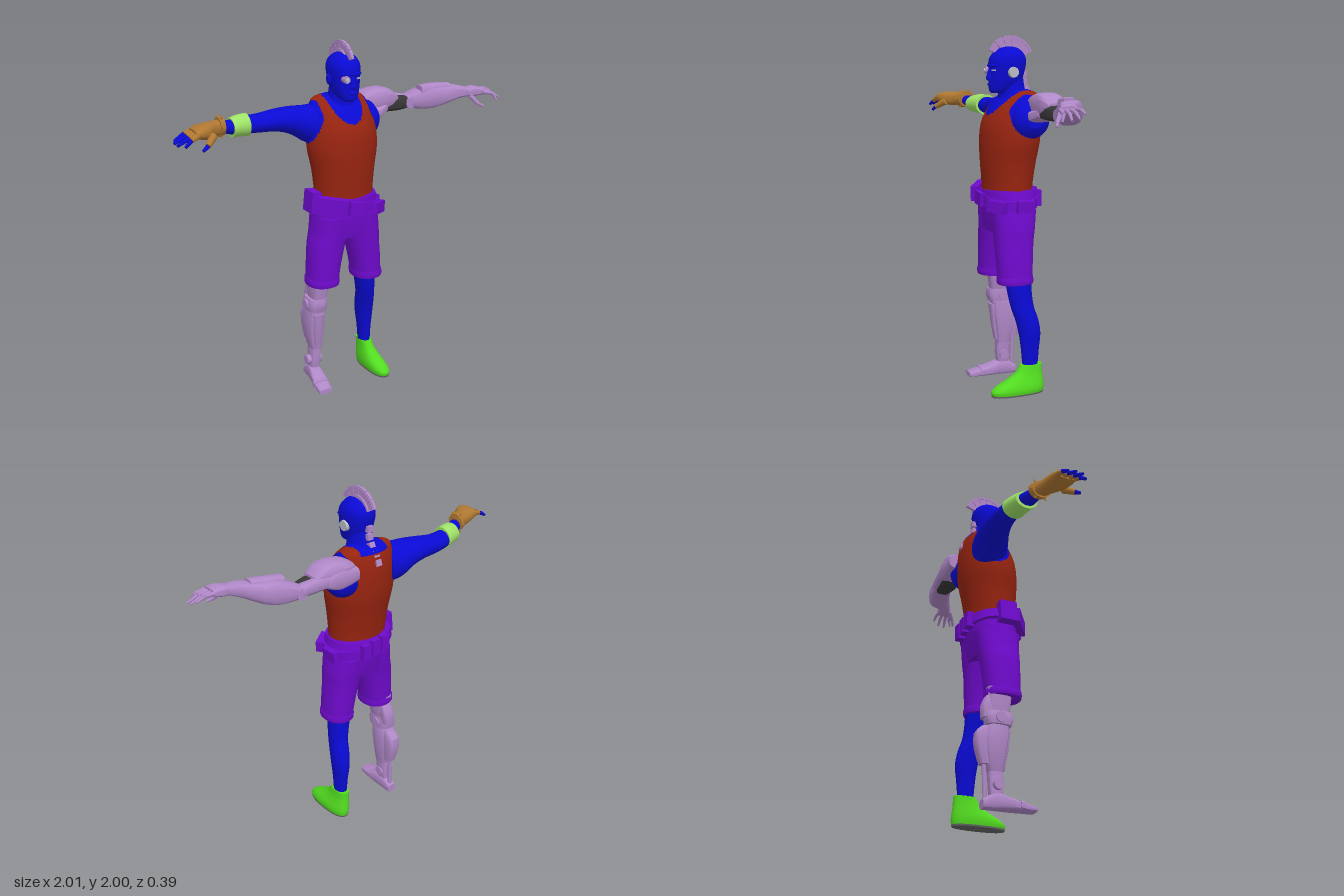
import * as THREE from 'three';
import { toCreasedNormals } from 'three/addons/utils/BufferGeometryUtils.js';

const colours = {
  skinBlue: 0x0a0ad4, shirtRed: 0x982410, shortsPurple: 0x6e0acc, metalLilac: 0xb088c8, gloveBrown: 0xb07832,
  bandGreen: 0xa0e468, shoeGreen: 0x52dc20, jointGrey: 0x383838, lensGrey: 0xb8bcc0, soleGrey: 0x666666,
};
const M = {};
for (const k in colours) { M[k] = new THREE.MeshStandardMaterial({ color: colours[k] }); M[k].name = k; }

const spline = (a, b, c, d, t) =>
  0.5 * (2 * b + (c - a) * t + (2 * a - 5 * b + 4 * c - d) * t * t + (3 * b - a - 3 * c + d) * t * t * t);

// Smooth skin through cross-sections [t, aMin, aMax, bMin, bMax].
// axis y: a = x, b = z; axis x: a = y, b = z; axis z: a = x, b = y. n squares the section off.
function loft(axis, rows, { seg = 28, sub = 5, n = 2, paint } = {}) {
  rows = [...rows].sort((p, q) => p[0] - q[0]);
  const rings = [], last = rows.length - 1;
  for (let i = 0; i < last; i++) for (let s = 0; s < sub; s++)
    rings.push(rows[i].map((v, k) => spline(rows[Math.max(i - 1, 0)][k], v, rows[i + 1][k], rows[Math.min(i + 2, last)][k], s / sub)));
  rings.push(rows[last]);
  const pos = [], pw = (v) => Math.sign(v) * Math.abs(v) ** (2 / n);
  const put = ([t, a0, a1, b0, b1], ca, sa) => {
    const a = (a0 + a1) / 2 + (a1 - a0) / 2 * ca, b = (b0 + b1) / 2 + (b1 - b0) / 2 * sa;
    pos.push(...(axis === 'y' ? [a, t, b] : axis === 'x' ? [t, a, b] : [a, b, t]));
  };
  const ring = (r) => {
    for (let j = 0; j < seg; j++) {
      const g = j / seg * Math.PI * 2, c = pw(Math.cos(g)), s = pw(Math.sin(g));
      if (axis === 'y') put(r, s, c); else put(r, c, s);
    }
  };
  rings.forEach(ring);
  const tris = [];
  for (let i = 0; i < rings.length - 1; i++) for (let j = 0; j < seg; j++) {
    const k = (j + 1) % seg, p = i * seg, q = p + seg;
    tris.push([p + j, p + k, q + j], [p + k, q + k, q + j]);
  }
  for (const end of [0, rings.length - 1]) {
    const base = pos.length / 3;
    ring(rings[end]);
    put(rings[end], 0, 0);
    for (let j = 0; j < seg; j++) {
      const k = (j + 1) % seg;
      tris.push(end ? [base + j, base + k, base + seg] : [base + k, base + j, base + seg]);
    }
  }
  const lists = [[], []];
  for (const t of tris) {
    const c = [0, 1, 2].map((k) => (pos[t[0] * 3 + k] + pos[t[1] * 3 + k] + pos[t[2] * 3 + k]) / 3);
    lists[paint ? paint(...c) : 0].push(...t);
  }
  const g = new THREE.BufferGeometry();
  g.setAttribute('position', new THREE.Float32BufferAttribute(pos, 3));
  g.setIndex([...lists[0], ...lists[1]]);
  if (paint) { g.addGroup(0, lists[0].length, 0); g.addGroup(lists[0].length, lists[1].length, 1); }
  g.computeVertexNormals();
  return g;
}

export function createModel() {
  const root = new THREE.Group();
  root.name = 'figure';
  const add = (name, geo, mat) => {
    const m = new THREE.Mesh(geo, mat);
    m.name = name;
    root.add(m);
    return m;
  };
  const soft = (name, mat, axis, rows, opt) => add(name, loft(axis, rows, opt), mat);
  const plate = (name, axis, rows, mat = M.metalLilac) =>
    add(name, toCreasedNormals(loft(axis, rows, { seg: 16, sub: 2, n: 3.2 }), 0.5), mat);
  const box = (name, mat, size, at, rot = [0, 0, 0]) => {
    const m = add(name, new THREE.BoxGeometry(...size), mat);
    m.position.set(...at);
    m.rotation.set(...rot);
    return m;
  };
  const ball = (name, mat, r, at) => {
    const m = add(name, new THREE.SphereGeometry(1, 16, 12), mat);
    m.scale.set(...r);
    m.position.set(...at);
  };
  const rod = (name, mat, a, b, r0, r1, seg = 12) => {
    const p = new THREE.Vector3(...a), d = new THREE.Vector3(...b).sub(p);
    const m = add(name, new THREE.CylinderGeometry(r1, r0, d.length(), seg), mat);
    m.position.copy(p).addScaledVector(d, 0.5);
    m.quaternion.setFromUnitVectors(new THREE.Vector3(0, 1, 0), d.normalize());
  };

  // Torso with tank top: neck scoop and armholes show skin
  soft('torso', [M.shirtRed, M.skinBlue], 'y', [
    [1.135, -.172, .172, -.13, .14], [1.2, -.175, .175, -.137, .142], [1.3, -.185, .185, -.153, .15],
    [1.42, -.205, .205, -.175, .152], [1.52, -.2, .2, -.182, .14], [1.6, -.188, .188, -.178, .1],
    [1.66, -.168, .168, -.165, .045], [1.69, -.14, .14, -.145, 0], [1.705, -.07, .07, -.11, -.02]],
  { seg: 112, sub: 10, paint: (x, y, z) => {
    const ax = Math.abs(x);
    const scoop = z > -.07 && (x / .1) ** 2 + ((y - 1.7) / .135) ** 2 < 1;
    const nape = ax < .09 && y > 1.67;
    const armhole = ax > .145 && ((z + .05) / .105) ** 2 + ((y - 1.565) / .115) ** 2 < 1;
    return scoop || nape || armhole ? 1 : 0;
  } });

  // Neck and head
  soft('neck', M.skinBlue, 'y', [[1.6, -.11, .11, -.14, .06], [1.67, -.08, .08, -.115, .05], [1.71, -.068, .068, -.1, .055], [1.77, -.065, .065, -.09, .06]]);
  soft('head', M.skinBlue, 'y', [
    [1.685, -.03, .03, .03, .095], [1.7, -.05, .05, -.01, .106], [1.74, -.07, .07, -.07, .108], [1.8, -.083, .083, -.095, .106],
    [1.86, -.088, .088, -.105, .106], [1.9, -.077, .077, -.092, .085], [1.93, -.046, .046, -.058, .05], [1.941, -.01, .01, -.015, .01]],
  { n: 2.15, seg: 36 });
  soft('nose', M.skinBlue, 'y', [[1.755, -.018, .018, .09, .12], [1.77, -.016, .016, .09, .127], [1.82, -.008, .008, .09, .112]], { seg: 12 });
  ball('brow', M.skinBlue, [.062, .012, .022], [0, 1.835, .09]);
  ball('lips', M.skinBlue, [.026, .01, .012], [0, 1.732, .104]);
  ball('rightEar', M.skinBlue, [.012, .032, .022], [-.085, 1.8, -.005]);
  rod('leftEarDisc', M.lensGrey, [.075, 1.8, 0], [.097, 1.8, 0], .032, .028, 20);
  rod('eyeLensRim', M.metalLilac, [-.038, 1.81, .08], [-.041, 1.81, .119], .021, .019, 16);
  rod('eyeLens', M.lensGrey, [-.041, 1.81, .115], [-.0415, 1.81, .126], .013, .011, 16);
  box('leftEye', M.lensGrey, [.026, .008, .008], [.038, 1.81, .097], [0, .35, 0]);

  // Metal crest: base strip and separate fin plates
  const arc = (name, r0, r1, a0, a1, w) => {
    const s = new THREE.Shape();
    s.absarc(0, 0, r1, a0, a1, false);
    s.absarc(0, 0, r0, a1, a0, true);
    const g = new THREE.ExtrudeGeometry(s, { depth: w, bevelEnabled: false, curveSegments: 8 });
    g.translate(0, 0, -w / 2).rotateY(-Math.PI / 2);
    add(name, g, M.metalLilac).position.set(0, 1.863, -.018);
  };
  arc('crestBase', .06, .092, .4, 2.85, .034);
  for (let i = 0; i < 6; i++) arc('crestFin', .085, .137, .42 + i * .4, .79 + i * .4, .016);
  arc('crestRidge', .12, .13, .44, 2.76, .022);

  // Spine plates on the nape
  [[1.79, -.098, 0], [1.745, -.098, .1], [1.7, -.116, .45], [1.66, -.148, .5], [1.62, -.17, .3]].forEach(([y, z, r]) =>
    box('spinePlate', M.metalLilac, [.034, .034, .03], [0, y, z], [r, 0, 0]));

  // Right arm, elbow band, glove and fingers
  soft('rightArm', M.skinBlue, 'x', [
    [-.12, 1.43, 1.665, -.16, .045], [-.2, 1.45, 1.655, -.18, .03], [-.28, 1.5, 1.655, -.18, 0], [-.36, 1.525, 1.648, -.18, -.025],
    [-.46, 1.532, 1.635, -.17, -.042], [-.56, 1.54, 1.635, -.148, -.035], [-.64, 1.555, 1.635, -.11, -.008], [-.72, 1.585, 1.64, -.06, .01]]);
  soft('elbowBand', M.bandGreen, 'x', [[-.645, 1.54, 1.642, -.125, .003], [-.595, 1.535, 1.65, -.142, -.012], [-.54, 1.527, 1.65, -.158, -.024]]);
  soft('glove', M.gloveBrown, 'x', [
    [-.7, 1.58, 1.655, -.07, .015], [-.76, 1.575, 1.655, -.05, .04], [-.82, 1.575, 1.658, -.035, .09],
    [-.87, 1.588, 1.655, -.022, .112], [-.9, 1.598, 1.642, -.01, .112]], { n: 2.4 });
  soft('gloveCuff', M.gloveBrown, 'x', [[-.735, 1.565, 1.668, -.07, .04], [-.705, 1.568, 1.668, -.08, .025]]);
  for (let i = 0; i < 6; i++) {
    const a = i / 6 * Math.PI * 2 + .5, c = Math.cos(a), s = Math.sin(a);
    rod('cuffSpike', M.gloveBrown, [-.72, 1.617 + c * .045, -.02 + s * .045], [-.725, 1.617 + c * .07, -.02 + s * .07], .008, .001, 8);
  }
  [[.0, .012, .985], [.032, .05, 1], [.064, .09, .998], [.095, .122, .968]].forEach(([z0, z1, x], i) => {
    const mid = [-.93, 1.613 - i * .004, z0 * .6 + z1 * .4 + .004];
    rod('gloveFinger', M.gloveBrown, [-.88, 1.622, z0], mid, .017, .014);
    rod('finger', M.skinBlue, mid, [-x, 1.583 - i * .003, z1], .012, .008);
  });
  rod('gloveThumb', M.gloveBrown, [-.8, 1.6, .08], [-.85, 1.565, .125], .022, .015);
  rod('thumb', M.skinBlue, [-.85, 1.565, .125], [-.88, 1.545, .135], .012, .008);

  // Left shoulder stump and mechanical arm
  soft('leftShoulder', M.skinBlue, 'x', [[.12, 1.42, 1.66, -.155, .05], [.19, 1.44, 1.645, -.165, .045], [.22, 1.46, 1.62, -.15, .025], [.245, 1.5, 1.58, -.11, -.01]]);
  plate('shoulderShell', 'x', [
    [.15, 1.6, 1.66, -.17, -.05], [.2, 1.565, 1.685, -.19, -.04], [.28, 1.56, 1.697, -.188, -.035], [.35, 1.575, 1.685, -.18, -.04], [.4, 1.605, 1.645, -.17, -.06]]);
  plate('shoulderLowerPlate', 'x', [[.2, 1.54, 1.6, -.15, -.02], [.26, 1.535, 1.6, -.16, -.015], [.32, 1.56, 1.62, -.15, -.04]]);
  plate('shoulderBackPlate', 'x', [[.14, 1.56, 1.64, -.195, -.1], [.25, 1.54, 1.66, -.2, -.1], [.34, 1.57, 1.64, -.19, -.1]]);
  plate('upperArmCore', 'x', [[.3, 1.555, 1.635, -.165, -.045], [.4, 1.55, 1.632, -.16, -.05], [.475, 1.552, 1.625, -.155, -.07]], M.jointGrey);
  plate('upperArmStrut', 'x', [[.32, 1.575, 1.645, -.19, -.12], [.42, 1.57, 1.64, -.182, -.12], [.49, 1.565, 1.625, -.172, -.1]]);
  rod('elbowHub', M.metalLilac, [.49, 1.587, -.17], [.49, 1.587, -.06], .032, .032, 16);
  plate('forearm', 'x', [
    [.47, 1.56, 1.62, -.165, -.08], [.52, 1.548, 1.645, -.165, -.045], [.6, 1.542, 1.675, -.15, -.015],
    [.68, 1.562, 1.675, -.12, .018], [.76, 1.6, 1.677, -.055, .052], [.81, 1.612, 1.662, 0, .072]]);
  plate('forearmPanel', 'x', [[.55, 1.62, 1.682, -.11, -.04], [.63, 1.62, 1.69, -.1, -.02], [.72, 1.62, 1.69, -.06, .01]]);
  plate('palm', 'x', [[.795, 1.612, 1.66, .003, .07], [.84, 1.612, 1.672, 0, .09], [.89, 1.622, 1.66, .015, .11]]);
  [[.024, .025, .985, 1.625], [.05, .062, 1, 1.605], [.075, .1, .995, 1.597], [.1, .132, .955, 1.59]].forEach(([z0, z1, x, y]) => {
    const mid = [.94, (1.645 + y) / 2 + .008, (z0 + z1) / 2];
    rod('metalFinger', M.metalLilac, [.87, 1.643, z0], mid, .012, .01, 8);
    rod('metalFingertip', M.metalLilac, mid, [x, y, z1], .01, .006, 8);
  });
  rod('metalThumb', M.metalLilac, [.81, 1.62, .07], [.845, 1.575, .105], .014, .011, 8);
  rod('metalThumbTip', M.metalLilac, [.845, 1.575, .105], [.875, 1.56, .12], .01, .007, 8);

  // Shorts
  soft('shortsHips', M.shortsPurple, 'y', [[.915, -.203, .203, -.105, .122], [1, -.196, .196, -.125, .135], [1.1, -.182, .182, -.138, .14], [1.155, -.172, .172, -.132, .138]], { n: 2.3, seg: 40 });
  for (const [name, s, w] of [['left', 1, .225], ['right', -1, .24]]) {
    const leg = (part, rows) => soft(name + part, M.shortsPurple, 'y',
      rows.map(([y, i, o, b, f]) => [y, Math.min(s * i, s * o), Math.max(s * i, s * o), b, f]), { n: 2.3 });
    leg('ShortsLeg', [[.64, .06, w - .003, -.082, .112], [.75, .042, w - .008, -.09, .117], [.86, .018, w - .017, -.1, .122], [.94, .002, .205, -.112, .127], [1.04, 0, .19, -.125, .135]]);
    leg('ShortsCuff', [[.632, .055, w, -.086, .116], [.65, .053, w + .003, -.089, .119], [.672, .053, w, -.087, .117]]);
  }

  // Belts and pouches
  soft('upperBelt', M.shortsPurple, 'y', [[1.105, -.192, .192, -.15, .152], [1.15, -.183, .183, -.145, .15]], { n: 2.3, seg: 40 });
  const belt = soft('slungBelt', M.shortsPurple, 'y', [[-.028, -.207, .207, -.153, .16], [.028, -.2, .2, -.153, .16]], { n: 2.3, seg: 40 });
  belt.position.y = 1.1;
  belt.rotation.z = -.15;
  box('rightPouch', M.shortsPurple, [.055, .12, .1], [-.207, 1.135, .02], [0, 0, -.1]);
  box('frontRightPouch', M.shortsPurple, [.17, .085, .045], [-.135, 1.125, .125], [0, -.62, -.1]);
  box('buckle', M.shortsPurple, [.085, .075, .03], [-.01, 1.1, .163], [0, 0, -.12]);
  box('frontLeftPouch', M.shortsPurple, [.11, .065, .045], [.15, 1.07, .125], [0, .6, -.12]);
  box('leftPouch', M.shortsPurple, [.035, .065, .1], [.205, 1.07, -.02], [0, 0, -.1]);
  for (const x of [-.065, 0, .065]) box('backPouch', M.shortsPurple, [.052, .09, .04], [x, 1.105 - x * .15, -.152]);

  // Left leg and shoe
  soft('leftLeg', M.skinBlue, 'y', [
    [.14, .148, .214, -.105, -.018], [.25, .142, .217, -.115, -.008], [.34, .13, .224, -.124, .004], [.42, .12, .222, -.112, .022],
    [.5, .11, .212, -.088, .047], [.6, .09, .205, -.08, .065], [.68, .075, .2, -.085, .075]]);
  soft('shoe', M.shoeGreen, 'y', [
    [.008, .142, .248, -.132, .176], [.03, .138, .252, -.136, .178], [.055, .138, .248, -.136, .148], [.085, .142, .237, -.133, .085],
    [.12, .146, .226, -.13, .03], [.165, .147, .219, -.13, -.002]], { n: 2.4 });
  soft('sole', M.soleGrey, 'y', [[0, .142, .248, -.132, .176], [.009, .14, .25, -.134, .178]], { n: 2.4, sub: 1 });

  // Right mechanical leg
  plate('thighLink', 'y', [[.52, -.205, -.125, -.075, .04], [.6, -.21, -.11, -.085, .05], [.68, -.21, -.11, -.085, .06]]);
  plate('thighBackPlate', 'y', [[.5, -.2, -.13, -.115, -.05], [.57, -.2, -.12, -.115, -.05], [.63, -.19, -.12, -.09, -.04]]);
  plate('kneeBlock', 'y', [[.46, -.23, -.12, -.095, .045], [.5, -.232, -.118, -.1, .055], [.535, -.222, -.12, -.09, .05]]);
  rod('kneeAxle', M.metalLilac, [-.238, .495, -.03], [-.112, .495, -.03], .03, .03, 16);
  plate('shinShell', 'y', [[.2, -.2, -.137, -.08, .0], [.28, -.22, -.125, -.1, .01], [.38, -.23, -.12, -.11, .025], [.455, -.225, -.125, -.09, .03]]);
  plate('calfShell', 'y', [[.24, -.2, -.14, -.13, -.05], [.33, -.21, -.13, -.155, -.06], [.41, -.21, -.13, -.155, -.06], [.45, -.2, -.14, -.12, -.05]]);
  plate('shinGuard', 'y', [[.22, -.19, -.15, -.02, .012], [.33, -.203, -.145, -.02, .03], [.44, -.21, -.14, -.02, .042]]);
  plate('ankleLink', 'y', [[.06, -.205, -.155, -.075, -.01], [.13, -.205, -.145, -.08, 0], [.22, -.2, -.14, -.08, 0]]);
  rod('ankleAxle', M.metalLilac, [-.228, .13, -.04], [-.135, .13, -.04], .028, .028, 16);
  rod('heelPiston', M.metalLilac, [-.175, .05, -.1], [-.17, .28, -.105], .012, .012, 10);
  plate('metalFoot', 'z', [[-.12, -.205, -.15, 0, .05], [-.05, -.215, -.145, 0, .09], [.02, -.23, -.145, 0, .075], [.08, -.242, -.15, 0, .052], [.165, -.25, -.168, 0, .028]]);
  plate('toeCap', 'z', [[.075, -.248, -.148, 0, .056], [.1, -.25, -.152, 0, .052]]);
  return root;
}
